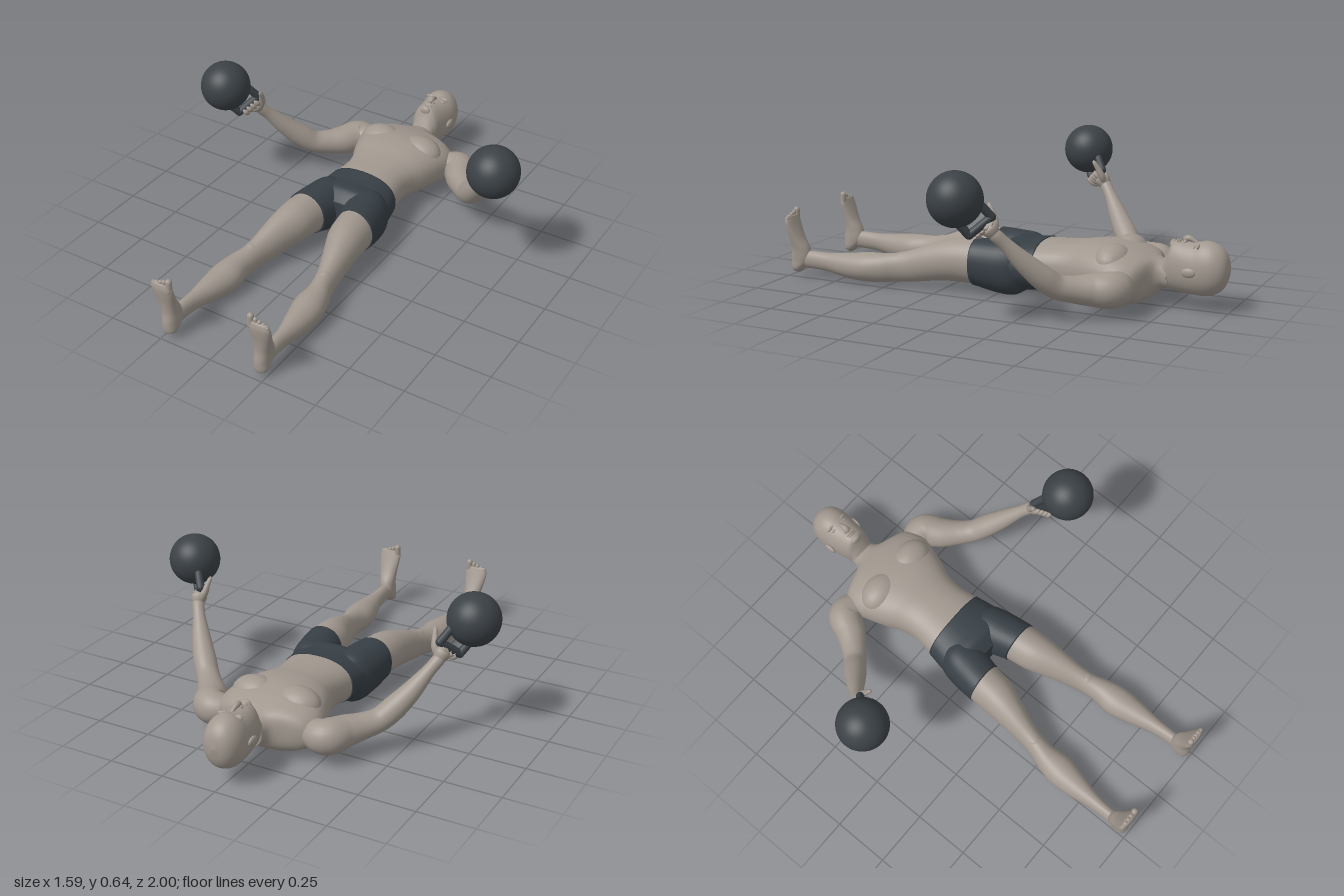
import * as THREE from 'three';
import { mergeVertices } from 'three/addons/utils/BufferGeometryUtils.js';

const paint = (name, color) => {
  const m = new THREE.MeshStandardMaterial({ color });
  m.name = name;
  return m;
};
const V = (x, y, z) => new THREE.Vector3(x, y, z);

// Smooth interpolation of section rows, keyed by their first number
function sectionAt(rows, k) {
  let i = 0;
  while (i < rows.length - 2 && k > rows[i + 1][0]) i++;
  const a = rows[i], b = rows[i + 1];
  const p = rows[i - 1] || a, n = rows[i + 2] || b;
  const d = b[0] - a[0], t = (k - a[0]) / d, t2 = t * t, t3 = t2 * t;
  return a.map((_, c) => {
    const ma = (b[c] - p[c]) / (b[0] - p[0]) * d, mb = (n[c] - a[c]) / (n[0] - a[0]) * d;
    return (2 * t3 - 3 * t2 + 1) * a[c] + (t3 - 2 * t2 + t) * ma + (3 * t2 - 2 * t3) * b[c] + (t3 - t2) * mb;
  });
}

// Skin over rows [z, centreX, halfWidth, bottom, top], capped at both ends
function loft(rows, from, to, { grow = 0, power = 2.2, steps = 40, sides = 36 } = {}) {
  const pos = [], idx = [];
  const bend = (v) => Math.sign(v) * Math.abs(v) ** (2 / power);
  for (let i = 0; i <= steps; i++) {
    const z = from + (to - from) * i / steps;
    const [, cx, hw, lo, hi] = sectionAt(rows, z);
    for (let j = 0; j < sides; j++) {
      const a = j / sides * Math.PI * 2;
      pos.push(cx + (Math.max(hw, 0.001) + grow) * bend(Math.cos(a)),
        (lo + hi) / 2 + ((hi - lo) / 2 + grow) * bend(Math.sin(a)), z);
      if (i < steps) {
        const p = i * sides + j, q = i * sides + (j + 1) % sides;
        idx.push(p, q, p + sides, q, q + sides, p + sides);
      }
    }
  }
  const last = steps * sides;
  for (let j = 1; j < sides - 1; j++) idx.push(0, j + 1, j, last, last + j, last + j + 1);
  const g = new THREE.BufferGeometry();
  g.setAttribute('position', new THREE.Float32BufferAttribute(pos, 3));
  g.setIndex(idx);
  g.computeVertexNormals();
  return g;
}

// Tube through [x, y, z, radius] points with a changing radius
function limb(points, steps = 36, sides = 20) {
  const curve = new THREE.CatmullRomCurve3(points.map((p) => V(p[0], p[1], p[2])));
  let g = new THREE.TubeGeometry(curve, steps, 1, sides);
  const radii = points.map((p, i) => [i, p[3]]);
  const pos = g.attributes.position, v = V();
  for (let i = 0; i <= steps; i++) {
    const c = curve.getPointAt(i / steps);
    const r = sectionAt(radii, curve.getUtoTmapping(i / steps) * (points.length - 1))[1];
    for (let j = 0; j <= sides; j++) {
      const k = i * (sides + 1) + j;
      v.fromBufferAttribute(pos, k).sub(c).multiplyScalar(r).add(c);
      pos.setXYZ(k, v.x, v.y, v.z);
    }
  }
  g.deleteAttribute('uv');
  g.deleteAttribute('normal');
  g = mergeVertices(g, 1e-5);
  g.computeVertexNormals();
  return g;
}

const blob = (x, y, z, a, b, c) => new THREE.SphereGeometry(1, 24, 16).scale(a, b, c).translate(x, y, z);

// Rounded bar between two points
function bar(a, b, r) {
  const d = b.clone().sub(a), m = a.clone().add(b).multiplyScalar(0.5);
  const q = new THREE.Quaternion().setFromUnitVectors(V(0, 1, 0), d.clone().normalize());
  return new THREE.CapsuleGeometry(r, d.length(), 6, 14).applyQuaternion(q).translate(m.x, m.y, m.z);
}

function mirrored(geo) {
  const g = geo.clone().scale(-1, 1, 1), ix = g.index.array;
  for (let i = 0; i < ix.length; i += 3) [ix[i], ix[i + 1]] = [ix[i + 1], ix[i]];
  return g;
}

export function createModel() {
  const skin = paint('skin', 0xa1988f), cloth = paint('shorts cloth', 0x373f45), iron = paint('cast iron', 0x3b4146);
  const model = new THREE.Group();
  model.name = 'lyingMan';
  const add = (name, geo, mat) => {
    const m = new THREE.Mesh(geo, mat);
    m.name = name;
    model.add(m);
  };
  const pair = (name, geo, mat) => {
    add('left' + name, geo, mat);
    add('right' + name, mirrored(geo), mat);
  };

  // Torso and pelvis
  const trunk = [
    [-0.75, 0, 0.06, 0.085, 0.2], [-0.72, 0, 0.063, 0.085, 0.205], [-0.69, 0, 0.09, 0.06, 0.214],
    [-0.665, 0, 0.17, 0.042, 0.224], [-0.64, 0, 0.215, 0.025, 0.234], [-0.58, 0, 0.238, 0.013, 0.253],
    [-0.5, 0, 0.222, 0.017, 0.267], [-0.42, 0, 0.195, 0.022, 0.264], [-0.35, 0, 0.166, 0.03, 0.253],
    [-0.28, 0, 0.155, 0.034, 0.247], [-0.18, 0, 0.168, 0.025, 0.243], [-0.1, 0, 0.182, 0.02, 0.236],
    [-0.03, 0, 0.185, 0.03, 0.235], [0.03, 0, 0.1, 0.08, 0.19],
  ];
  add('torso', loft(trunk, -0.75, -0.17, { steps: 60, power: 2.35 }), skin);
  add('shortsSeat', loft(trunk, -0.18, 0.03, { grow: 0.003, power: 2.35 }), cloth);
  pair('Pectoral', blob(0.1, 0.2, -0.525, 0.105, 0.074, 0.08), skin);

  // Legs and short legs of the shorts
  const leg = [
    [-0.14, 0.09, 0.06, 0.04, 0.2], [-0.08, 0.1, 0.087, 0.008, 0.232], [0, 0.108, 0.097, 0.013, 0.238],
    [0.1, 0.125, 0.09, 0.037, 0.238], [0.2, 0.136, 0.084, 0.042, 0.232], [0.3, 0.156, 0.066, 0.036, 0.205],
    [0.4, 0.176, 0.05, 0.024, 0.168], [0.46, 0.188, 0.048, 0.022, 0.152], [0.52, 0.201, 0.056, 0.015, 0.146],
    [0.6, 0.206, 0.068, 0.011, 0.143], [0.7, 0.215, 0.054, 0.018, 0.132], [0.8, 0.222, 0.034, 0.038, 0.123],
    [0.88, 0.225, 0.028, 0.043, 0.124], [0.95, 0.225, 0.027, 0.045, 0.12],
  ];
  pair('ShortsLeg', loft(leg, -0.14, 0.1, { grow: 0.003 }), cloth);
  pair('Leg', loft(leg, 0.08, 0.95, { steps: 60, power: 2 }), skin);
  pair('Kneecap', blob(0.186, 0.13, 0.435, 0.03, 0.028, 0.04), skin);

  // Feet, lofted from heel up to toes: rows are [y, x, halfWidth, -sole z, -instep z]
  const foot = [
    [0.02, 0.225, 0.008, -0.975, -0.955], [0.035, 0.225, 0.029, -0.989, -0.935], [0.08, 0.225, 0.035, -0.993, -0.895],
    [0.13, 0.228, 0.037, -0.986, -0.9], [0.18, 0.232, 0.043, -0.989, -0.928], [0.23, 0.234, 0.051, -0.997, -0.951],
    [0.262, 0.234, 0.053, -1, -0.964], [0.285, 0.234, 0.044, -0.995, -0.973],
  ];
  pair('Foot', loft(foot, 0.02, 0.285).rotateX(-Math.PI / 2), skin);
  for (let i = 0; i < 5; i++) {
    const x = 0.197 + (i && 0.005) + i * 0.018, r = i ? 0.0095 : 0.014;
    pair('Toe' + (i + 1), bar(V(x, 0.26, 0.984), V(x, 0.302 - i * 0.007, 0.983), r), skin);
  }

  // Arms
  pair('Arm', limb([
    [0.17, 0.13, -0.585, 0.05], [0.27, 0.125, -0.598, 0.076], [0.322, 0.128, -0.52, 0.067],
    [0.37, 0.135, -0.46, 0.056], [0.415, 0.15, -0.41, 0.051], [0.46, 0.195, -0.365, 0.051],
    [0.51, 0.26, -0.31, 0.042], [0.56, 0.34, -0.25, 0.028], [0.588, 0.385, -0.212, 0.026], [0.6, 0.405, -0.19, 0.01],
  ], 60, 28), skin);

  // Kettlebell: ball with an angular handle
  const ball = V(0.68, 0.53, -0.09), a = V(0.64, 0.382, -0.13), b = V(0.58, 0.45, -0.2);
  const out = a.clone().add(b).multiplyScalar(0.5).sub(ball).normalize();
  const inner = (p) => p.clone().addScaledVector(out, -0.09);
  pair('KettlebellBall', new THREE.SphereGeometry(0.113, 40, 28).translate(ball.x, ball.y, ball.z), iron);
  pair('KettlebellGrip', bar(a, b, 0.018), iron);
  pair('KettlebellNearPost', bar(a, inner(a), 0.018), iron);
  pair('KettlebellFarPost', bar(b, inner(b), 0.018), iron);

  // Hand: palm, four fingers curled about the grip, thumb
  const along = b.clone().sub(a).normalize(), across = along.clone().cross(out).normalize();
  pair('Palm', limb([
    [0.58, 0.375, -0.218, 0.02], [0.588, 0.392, -0.206, 0.032], [0.594, 0.408, -0.194, 0.034], [0.6, 0.42, -0.182, 0.015],
  ], 16), skin);
  for (let i = 0; i < 4; i++) {
    const c = a.clone().lerp(b, 0.22 + i * 0.19), pts = [];
    for (let k = 0; k <= 6; k++) {
      const t = -1.3 + k * 0.55;
      const p = c.clone().addScaledVector(out, Math.cos(t) * 0.028).addScaledVector(across, Math.sin(t) * 0.028);
      pts.push([p.x, p.y, p.z, k === 6 ? 0.003 : 0.0115]);
    }
    pair('Finger' + (i + 1), limb(pts, 18, 10), skin);
  }
  pair('Thumb', limb([
    [0.58, 0.39, -0.21, 0.015], [0.562, 0.425, -0.205, 0.016], [0.552, 0.465, -0.187, 0.012],
    [0.546, 0.492, -0.172, 0.009], [0.545, 0.5, -0.168, 0.002],
  ], 20, 12), skin);

  // Head
  const head = [
    [-1, 0, 0.004, 0.185, 0.195], [-0.994, 0, 0.035, 0.145, 0.232], [-0.975, 0, 0.062, 0.105, 0.268],
    [-0.94, 0, 0.08, 0.08, 0.294], [-0.9, 0, 0.085, 0.07, 0.302], [-0.86, 0, 0.082, 0.07, 0.294],
    [-0.82, 0, 0.077, 0.073, 0.293], [-0.78, 0, 0.07, 0.078, 0.295], [-0.755, 0, 0.064, 0.083, 0.287],
    [-0.738, 0, 0.057, 0.087, 0.25], [-0.71, 0, 0.056, 0.09, 0.195],
  ];
  add('head', loft(head, -1, -0.71, { steps: 50, power: 2.1 }), skin);
  add('nose', limb([
    [0, 0.285, -0.868, 0.006], [0, 0.298, -0.845, 0.009], [0, 0.307, -0.82, 0.013], [0, 0.3, -0.807, 0.012], [0, 0.288, -0.802, 0.004],
  ], 20, 14), skin);
  add('upperLip', blob(0, 0.292, -0.788, 0.024, 0.009, 0.005), skin);
  add('lowerLip', blob(0, 0.292, -0.778, 0.021, 0.009, 0.005), skin);
  add('chin', blob(0, 0.275, -0.756, 0.026, 0.022, 0.014), skin);
  pair('Nostril', blob(0.012, 0.293, -0.81, 0.008, 0.009, 0.008), skin);
  pair('Eyelid', blob(0.032, 0.277, -0.858, 0.016, 0.011, 0.007), skin);
  pair('Brow', blob(0.034, 0.282, -0.876, 0.024, 0.012, 0.007), skin);
  pair('Ear', blob(0.086, 0.18, -0.85, 0.01, 0.02, 0.03).rotateY(0), skin);
  return model;
}
